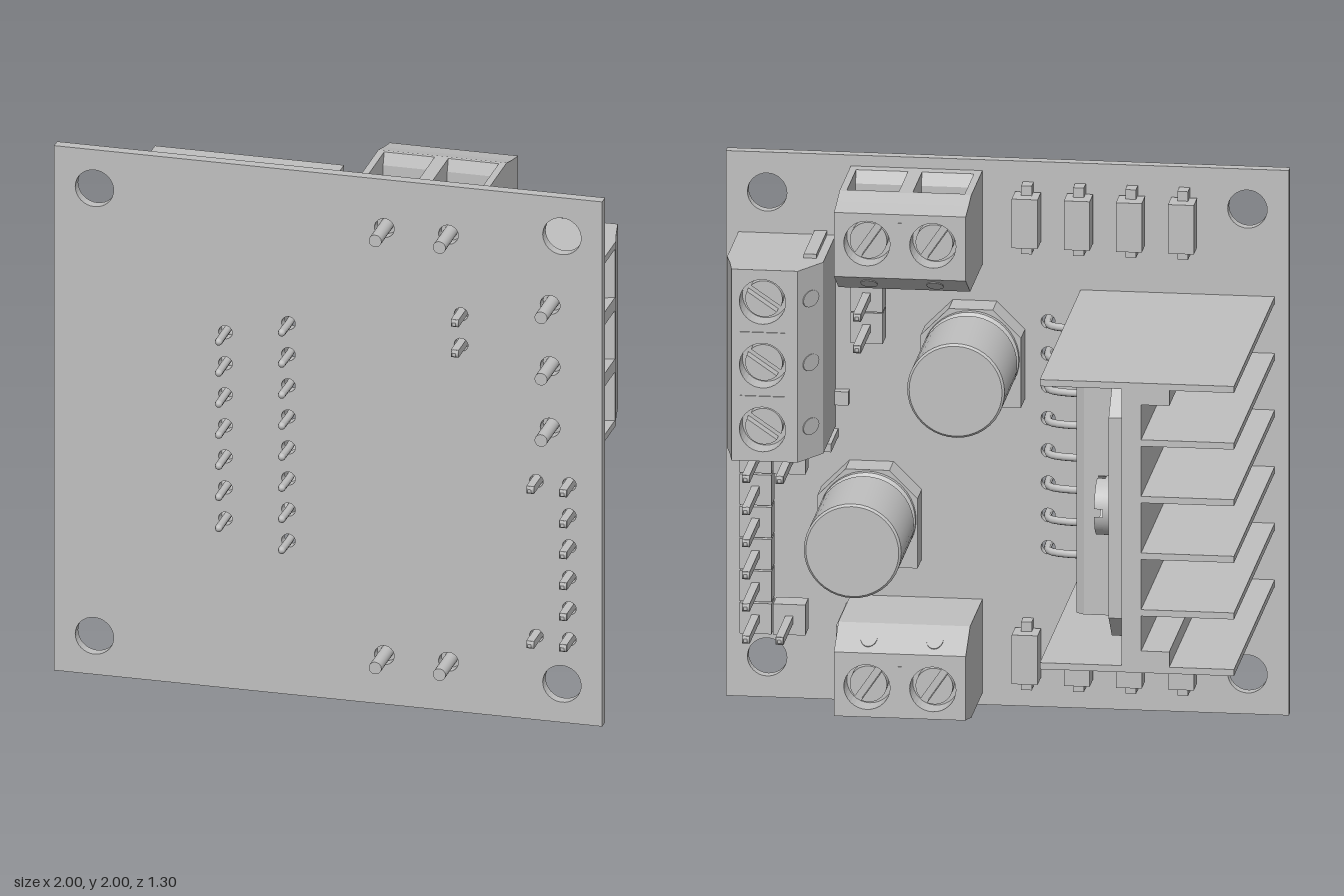
import * as THREE from 'three';
import { toCreasedNormals } from 'three/addons/utils/BufferGeometryUtils.js';

const grey = new THREE.MeshStandardMaterial({ color: 0xc0c0c0, side: THREE.DoubleSide });
grey.name = 'grey';
const BACK = 0.485, FRONT = 0.525; // faces of the board

function add(parent, name, geometry, x = 0, y = 0, z = 0) {
  const m = new THREE.Mesh(geometry, grey);
  m.name = name;
  m.position.set(x, y, z);
  parent.add(m);
  return m;
}
// box given by its limits
function box(parent, name, x0, x1, y0, y1, z0, z1) {
  return add(parent, name, new THREE.BoxGeometry(x1 - x0, y1 - y0, z1 - z0),
    (x0 + x1) / 2, (y0 + y1) / 2, (z0 + z1) / 2);
}
const poly = (pts) => new THREE.Shape(pts.map(([a, b]) => new THREE.Vector2(a, b)));
const circle = (x, y, r) => new THREE.Path().absarc(x, y, r, 0, Math.PI * 2, true);
const extrude = (shape, depth) =>
  new THREE.ExtrudeGeometry(shape, { depth, bevelEnabled: false, curveSegments: 16 });
// profile in x and z, swept along y from y0 to y1
const alongY = (shape, y0, y1) => extrude(shape, y1 - y0).rotateX(Math.PI / 2).translate(0, y1, 0);
// cylinder with its axis along z
const rod = (r, length, sides = 24) => new THREE.CylinderGeometry(r, r, length, sides).rotateX(Math.PI / 2);

const leads = [];
for (let i = 0; i < 15; i++) leads.push([i % 2 ? -0.375 : -0.145, 0.586 + i * 0.0592]);
const headerPins = [[0.76, 0.91], [0.76, 0.32], [0.485, 1.4], [0.485, 1.516]];
for (let i = 0; i < 6; i++) headerPins.push([0.88, 0.32 + i * 0.118]);
const terminals = [
  { x: 0.81, y: 1.353, ways: 3, turn: 0 },
  { x: 0.322, y: 1.815, ways: 2, turn: Math.PI / 2 },
  { x: 0.322, y: 0.187, ways: 2, turn: -Math.PI / 2 },
];
const PITCH = 0.234;

function makeBoard(g) {
  const s = poly([[-1, 0], [1, 0], [1, 2], [-1, 2]]);
  for (const x of [-0.853, 0.853]) for (const y of [0.147, 1.853]) s.holes.push(circle(x, y, 0.07));
  for (const [x, y] of leads.concat(headerPins)) s.holes.push(circle(x, y, 0.025));
  for (const t of terminals) for (let i = 0; i < t.ways; i++) {
    const d = (i - (t.ways - 1) / 2) * PITCH;
    s.holes.push(circle(t.x + (t.turn ? d : 0), t.y + (t.turn ? 0 : d), 0.036));
  }
  add(g, 'board', extrude(s, FRONT - BACK), 0, 0, BACK);
}

// screw terminal: wires enter from local +x, screws face -z
function makeTerminal(g, { x, y, ways, turn }) {
  const t = new THREE.Group();
  t.name = 'screwTerminal';
  t.position.set(x, y, 0);
  t.rotation.z = turn;
  g.add(t);
  const half = ways * PITCH / 2, top = 0.10;
  const wall = () => poly([[-0.2, BACK], [-0.2, 0.14], [-0.176, top], [0.127, top], [0.145, 0.17], [0.145, BACK]]);
  const open = poly([[-0.2, BACK], [-0.2, 0.14], [-0.176, top], [0.127, top], [0.145, 0.17], [0.145, 0.185], [0.1, 0.2], [0.05, 0.2]]);
  open.absarc(0.05, 0.31, 0.11, -Math.PI / 2, -Math.PI * 1.5, true);
  open.lineTo(0.1, 0.42);
  open.lineTo(0.145, 0.44);
  open.lineTo(0.145, BACK);
  const cap = poly([[-0.125, -half], [0.11, -half], [0.11, half], [-0.125, half]]);
  for (let i = 0; i < ways; i++) {
    const c = (i - (ways - 1) / 2) * PITCH;
    add(t, 'wireChamber', alongY(open, c - 0.092, c + 0.092));
    for (const s of [-1, 1])
      add(t, 'chamberWall', alongY(wall(), c + s * 0.1045 - 0.0125, c + s * 0.1045 + 0.0125));
    cap.holes.push(circle(0, c, 0.082));
    // recessed screw head with a raised half on each side of its slot
    for (const a of [0, Math.PI]) {
      const h = new THREE.Shape().absarc(0, 0, 0.066, 0.2, Math.PI - 0.2, false);
      const m = add(t, 'screwHead', extrude(h, 0.05), 0, c, 0.055);
      m.rotation.z = a + 0.6;
    }
    add(t, 'terminalPin', rod(0.023, 0.2), 0, c, 0.55);
    // wire tester hole on the sloping side
    const hole = add(t, 'testHole', new THREE.CylinderGeometry(0.03, 0.03, 0.006, 20), -0.1635, c, 0.0785);
    hole.scale.z = 1.5;
    hole.rotation.z = Math.PI / 2;
    hole.rotation.order = 'YXZ';
    hole.rotation.y = -0.54;
    if (i) box(t, 'dividerRib', -0.08, 0.08, c - PITCH / 2 - 0.006, c - PITCH / 2 + 0.006, 0.01, 0.02);
  }
  add(t, 'screwDeck', extrude(cap, top - 0.015), 0, 0, 0.015);
  add(t, 'innerSlope', alongY(poly([[-0.125, 0.015], [-0.125, top], [-0.176, top]]), -half, half));
  add(t, 'outerSlope', alongY(poly([[0.11, 0.015], [0.127, top], [0.11, top]]), -half, half));
  box(t, 'endKey', -0.17, -0.125, turn > 0 ? -half - 0.015 : half, turn > 0 ? -half : half + 0.015, 0.185, BACK);
}

function makeCapacitor(g, x, y) {
  const r = 0.173;
  const pts = [[0, -0.055], [r - 0.008, -0.055], [r, -0.047], [r, 0.305], [r - 0.02, 0.32],
    [r - 0.02, 0.335], [r, 0.35], [r, 0.375], [0, 0.375]].map(([a, b]) => new THREE.Vector2(a, b));
  const can = new THREE.LatheGeometry(pts, 40).rotateX(Math.PI / 2);
  add(g, 'capacitorCan', toCreasedNormals(can, 0.5), x, y, 0);
  const b = 0.178, c = 0.1;
  const base = poly([[-b, -b], [b, -b], [b, b - c], [b - c, b], [c - b, b], [-b, b - c]]);
  add(g, 'capacitorBase', extrude(base, BACK - 0.37), x, y, 0.37);
}

function makeHeatsink(g) {
  const z0 = -0.655, low = 0.472, high = 1.535, th = 0.024;
  box(g, 'heatsinkPlate', -0.62, -0.55, low, high, z0, BACK);
  for (let i = 0; i < 6; i++) {
    const y = low + th / 2 + i * (high - low - th) / 5;
    const outer = i === 0 || i === 5;
    box(g, 'heatsinkFin', -0.95, outer ? -0.26 : -0.6, y - th / 2, y + th / 2, z0, BACK);
  }
  // mounting lips beside the two outer fins
  for (const y of [low + 0.05, high - 0.05]) box(g, 'heatsinkLip', -0.72, -0.62, y - 0.03, y + 0.03, z0, BACK);
}

function makeDriverChip(g) {
  // metal tab with cut corners, in z and y, facing +x
  const tab = poly([[-0.25, 0.545], [0.45, 0.545], [0.54, 0.635], [0.54, 1.37], [0.45, 1.46], [-0.25, 1.46]]);
  add(g, 'chipTab', extrude(tab, 0.06).rotateY(Math.PI / 2), -0.55, 0, 0);
  const body = poly([[-0.55, -0.2], [-0.36, -0.2], [-0.33, -0.18], [-0.33, 0.23], [-0.36, 0.25], [-0.55, 0.25]]);
  add(g, 'chipBody', alongY(body, 0.545, 1.46));
  for (const y of [0.63, 1.37]) {
    const d = add(g, 'mouldMark', new THREE.CylinderGeometry(0.035, 0.035, 0.006, 24), -0.329, y, -0.05);
    d.rotation.z = Math.PI / 2;
  }
  // cross-head screw made of a disc and four raised quarters
  const disc = new THREE.CylinderGeometry(0.105, 0.105, 0.03, 32).rotateZ(Math.PI / 2);
  add(g, 'chipScrew', disc, -0.475, 1, -0.375);
  for (let i = 0; i < 4; i++) {
    const q = new THREE.Shape().moveTo(0.014, 0.014);
    q.absarc(0, 0, 0.104, 0.14, Math.PI / 2 - 0.14, false);
    add(g, 'chipScrewQuarter', extrude(q, 0.03).rotateZ(i * Math.PI / 2).rotateY(Math.PI / 2), -0.46, 1, -0.375);
  }
  // two staggered rows of bent leads
  for (const [x, y] of leads) {
    const path = x < -0.3
      ? [[-0.44, 0.24], [-0.44, 0.31], [-0.38, 0.38], [x, 0.44], [x, 0.53], [x, 0.615]]
      : [[-0.44, 0.24], [-0.43, 0.34], [-0.36, 0.4], [-0.22, 0.41], [-0.16, 0.435], [x, 0.485], [x, 0.615]];
    const curve = new THREE.CatmullRomCurve3(path.map(([a, b]) => new THREE.Vector3(a, y, b)));
    add(g, 'chipLead', new THREE.TubeGeometry(curve, 24, 0.014, 8));
    add(g, 'leadTip', new THREE.SphereGeometry(0.014, 8, 6), x, y, 0.615);
  }
}

export function createModel() {
  const g = new THREE.Group();
  g.name = 'motorDriverBoard';
  makeBoard(g);
  terminals.forEach((t) => makeTerminal(g, t));
  makeCapacitor(g, 0.115, 1.305);
  makeCapacitor(g, 0.482, 0.703);
  makeHeatsink(g);
  makeDriverChip(g);

  // pin headers: one housing block per pin
  for (const [x, y] of headerPins) {
    box(g, 'headerHousing', x - 0.057, x + 0.057, y - 0.056, y + 0.056, 0.37, BACK - 0.025);
    box(g, 'headerFoot', x - 0.05, x + 0.05, y - 0.035, y + 0.035, 0.455, BACK);
    box(g, 'headerPin', x - 0.014, x + 0.014, y - 0.014, y + 0.014, 0.1, 0.61);
    for (const z of [0.095, 0.616]) {
      const tip = add(g, 'headerPinTip', new THREE.CylinderGeometry(0.009, 0.02, 0.014, 4).rotateY(Math.PI / 4), x, y, z);
      tip.rotation.x = z > 0.5 ? Math.PI / 2 : -Math.PI / 2;
    }
  }

  // flyback diodes along both edges
  for (const y of [0.2, 1.8]) for (let i = 0; i < 4; i++) {
    const x = -0.63 + i * 0.185;
    box(g, 'diode', x - 0.046, x + 0.046, y - 0.09, y + 0.09, 0.38, BACK - 0.01);
    box(g, 'diodeLead', x - 0.019, x + 0.019, y - 0.125, y + 0.125, 0.43, BACK);
  }

  // small parts near the headers
  box(g, 'indicatorBody', 0.6, 0.68, 0.965, 0.995, 0.285, BACK);
  box(g, 'resistor', 0.56, 0.64, 1.09, 1.14, 0.45, BACK);
  return g;
}
